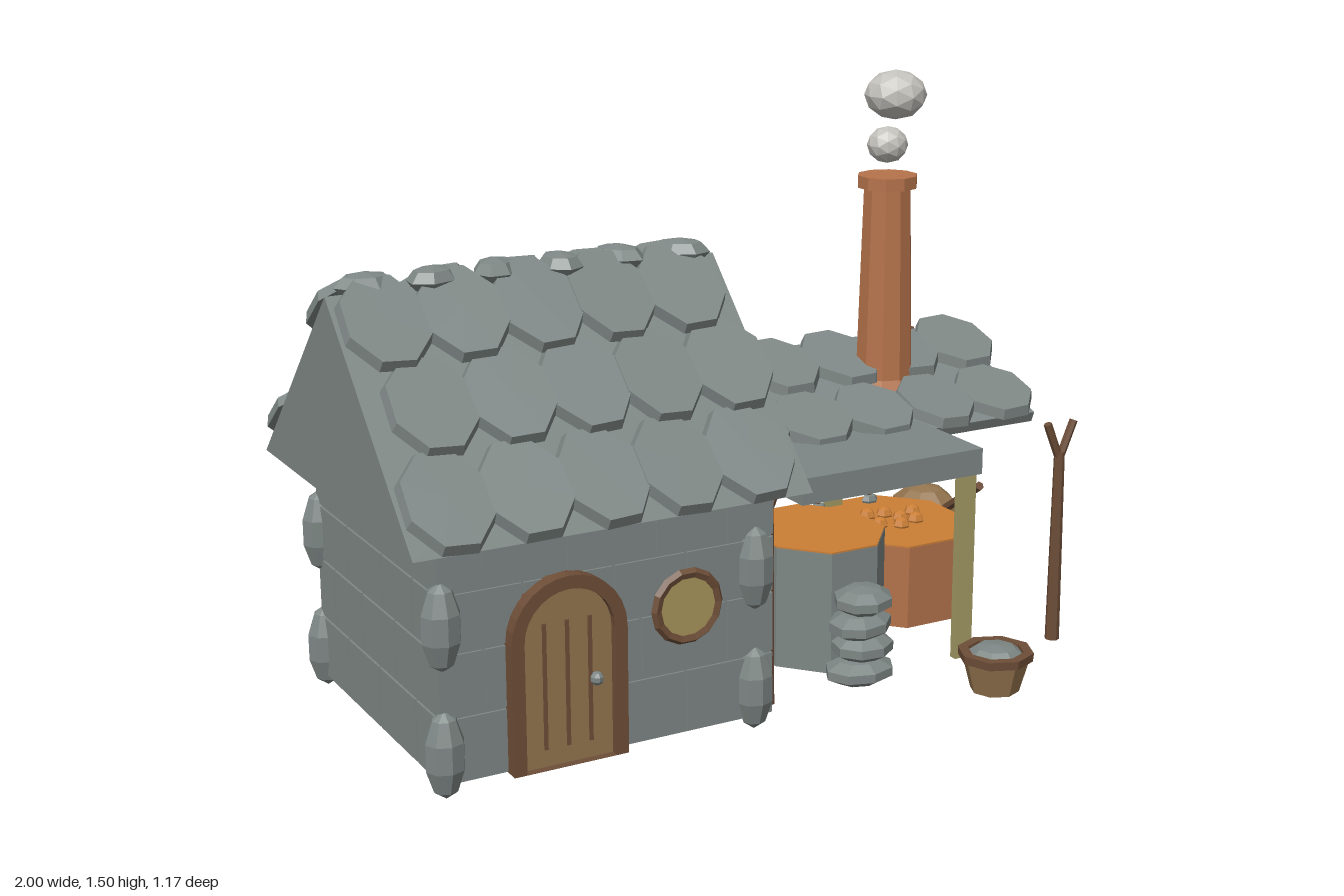
import * as THREE from 'three';

const mat = (name, color) => {
  const m = new THREE.MeshStandardMaterial({ color });
  m.name = name;
  return m;
};
const stone = mat('grey stone', 0x7e8785);
const clay = mat('clay brown', 0xb5734b);
const darkWood = mat('dark wood', 0x6e4e38);
const tanWood = mat('tan wood', 0x94754f);
const paleWood = mat('pale wood', 0xa39a64);
const ember = mat('ember orange', 0xcb7f36);
const glass = mat('window yellow', 0xa8965c);
const smokeMat = mat('smoke', 0xc4c2bc);

// Faceted normals for every part
function flat(geo) {
  const g = geo.index ? geo.toNonIndexed() : geo;
  g.computeVertexNormals();
  return g;
}
function add(parent, name, geo, material, x = 0, y = 0, z = 0) {
  const m = new THREE.Mesh(flat(geo), material);
  m.name = name;
  m.position.set(x, y, z);
  parent.add(m);
  return m;
}
function group(parent, name, x = 0, y = 0, z = 0) {
  const g = new THREE.Group();
  g.name = name;
  g.position.set(x, y, z);
  parent.add(g);
  return g;
}
const box = (w, h, d) => new THREE.BoxGeometry(w, h, d);
const cyl = (rt, rb, h, n = 8) => new THREE.CylinderGeometry(rt, rb, h, n);
const blob = (rx, ry, rz, w = 8, h = 5) => new THREE.SphereGeometry(1, w, h).scale(rx, ry, rz);

// Straight stick between two points
function stick(parent, name, a, b, r, material, n = 6) {
  const p = new THREE.Vector3(...a), q = new THREE.Vector3(...b);
  const m = add(parent, name, cyl(r, r, p.distanceTo(q), n), material);
  m.position.copy(p).add(q).multiplyScalar(0.5);
  m.quaternion.setFromUnitVectors(new THREE.Vector3(0, 1, 0), q.sub(p).normalize());
  return m;
}

// One row of overlapping roof slates, z runs down the slope
function slateRow(parent, xs, z, y, halfW, halfL, tilt) {
  xs.forEach((x, i) => {
    const s = add(parent, 'slate', cyl(0.94, 1, 0.028).rotateY(Math.PI / 8).scale(halfW * 1.07, 1, halfL * 1.07),
      stone, x, y, z);
    s.rotation.set(-tilt, ((i * 37) % 5 - 2) * 0.03, ((i * 23) % 3 - 1) * 0.03);
  });
}

// Round-topped door outline
function archShape(half, bottom, spring) {
  const s = new THREE.Shape();
  s.moveTo(-half, bottom);
  s.lineTo(half, bottom);
  s.lineTo(half, spring);
  s.absarc(0, spring, half, 0, Math.PI, false);
  s.lineTo(-half, bottom);
  return s;
}

function forkPost(parent, x, z, top) {
  const g = group(parent, 'forkPost', x, 0, z);
  add(g, 'postShaft', cyl(0.014, 0.019, top - 0.11), darkWood, 0, 0.03 + (top - 0.11) / 2, 0);
  for (const s of [-1, 1]) stick(g, 'postFork', [0, top - 0.1, 0], [s * 0.042, top, 0], 0.011, darkWood);
}

function buildHouse(root) {
  const house = group(root, 'house');
  const cx = -0.475, cz = -0.05;
  add(house, 'wallCore', box(0.858, 0.59, 0.768), stone, cx, 0.33, cz);

  // Brick courses on all four walls
  const rows = [0.035, 0.197, 0.352, 0.495, 0.62];
  [[0.87, 0.39], [0.78, 0.435], [0.87, 0.39], [0.78, 0.435]].forEach(([w, d], k) => {
    const wall = group(house, 'brickWall', cx, 0, cz);
    wall.rotation.y = k * Math.PI / 2;
    for (let r = 0; r < 4; r++) {
      const h = rows[r + 1] - rows[r];
      let x = -w / 2, i = 0;
      while (x < w / 2 - 0.001) {
        let len = i === 0 && r % 2 ? 0.11 : 0.19 + ((i + r * 2 + k) % 3) * 0.02;
        if (w / 2 - x - len < 0.08) len = w / 2 - x;
        add(wall, 'brick', box(len - 0.007, h - 0.007, 0.012), stone, x + len / 2, rows[r] + h / 2, d - 0.006);
        x += len;
        i++;
      }
    }
  });

  // Corner boulders
  for (const x of [-0.9, -0.09]) for (const z of [0.335, -0.44]) for (const y of [0.42, 0.112])
    add(house, 'cornerStone', blob(0.05, 0.108, 0.046), stone, x, y, z);

  // Solid gable roof
  const tri = new THREE.Shape([[-0.485, 0.62], [0.485, 0.62], [0, 1.11]].map(p => new THREE.Vector2(...p)));
  const roof = add(house, 'gableRoof', new THREE.ExtrudeGeometry(tri, { depth: 1.01, bevelEnabled: false })
    .translate(0, 0, -0.505).rotateY(Math.PI / 2), stone, -0.495, 0, cz);
  roof.name = 'gableRoof';

  // Slates on both slopes and stones along the ridge
  for (const turn of [0, Math.PI]) {
    const side = group(house, 'roofSlope', -0.495, 1.11, cz);
    side.rotation.y = turn;
    const slope = group(side, 'slates');
    slope.rotation.x = 0.79;
    [0.575, 0.335, 0.105].forEach((s, r) => slateRow(slope,
      [0, 1, 2, 3, 4].map(i => (i - 2) * 0.19 + (r === 1 ? 0.02 : -0.02) * (turn ? -1 : 1)), s, 0.037, 0.105, 0.132, 0.09));
  }
  for (let i = 0; i < 6; i++) {
    const c = add(house, 'ridgeStone', blob(0.075, 0.033, 0.055, 7, 4), stone, -0.9 + i * 0.163, 1.125, cz + (i % 2 - 0.5) * 0.012);
    c.rotation.y = i * 0.5;
  }

  // Arched door with frame, plank seams and knob
  const door = group(house, 'door', -0.6, 0, 0.335);
  const frame = archShape(0.147, 0.035, 0.355);
  frame.holes.push(archShape(0.115, 0.036, 0.355));
  add(door, 'doorFrame', new THREE.ExtrudeGeometry(frame, { depth: 0.04, bevelEnabled: false, curveSegments: 7 }), darkWood);
  add(door, 'doorPanel', new THREE.ExtrudeGeometry(archShape(0.117, 0.035, 0.355),
    { depth: 0.02, bevelEnabled: false, curveSegments: 7 }), tanWood);
  for (const x of [-0.058, 0, 0.058]) add(door, 'plankSeam', box(0.009, 0.31, 0.006), darkWood, x, 0.235, 0.022);
  add(door, 'doorKnob', blob(0.017, 0.017, 0.017), stone, 0.07, 0.235, 0.032);

  // Round window
  const win = group(house, 'roundWindow', -0.28, 0.36, 0.345);
  add(win, 'windowFrame', new THREE.TorusGeometry(0.083, 0.013, 5, 14), darkWood);
  add(win, 'windowPane', cyl(0.08, 0.08, 0.012, 14).rotateX(Math.PI / 2), glass);
}

function buildShelter(root) {
  const shelter = group(root, 'forgeShelter');
  add(shelter, 'flatSlab', box(0.535, 0.068, 0.69), stone, 0.338, 0.57, -0.055);

  // Sloped lean-to roof
  const lean = group(shelter, 'leanToRoof', 0, 0.655, -0.17);
  lean.rotation.x = 0.39;
  add(lean, 'leanToBoard', box(0.95, 0.03, 0.43), stone, 0.485, 0, 0);
  slateRow(lean, [0.11, 0.3, 0.49, 0.685, 0.875], 0.125, 0.035, 0.102, 0.115, 0.07);
  slateRow(lean, [0.14, 0.33, 0.52, 0.715, 0.895], -0.11, 0.035, 0.102, 0.125, 0.07);

  // Posts and the tool rail
  for (const z of [0.26, -0.37]) add(shelter, 'squarePost', box(0.05, 0.5, 0.022), paleWood, 0.577, 0.285, z);
  forkPost(shelter, -0.015, 0.27, 0.63);
  forkPost(shelter, 0.87, 0.265, 0.63);
  forkPost(shelter, 0.03, -0.375, 0.75);
  forkPost(shelter, 0.87, -0.375, 0.75);
  stick(shelter, 'toolRail', [0.01, 0.495, -0.382], [0.94, 0.495, -0.382], 0.012, paleWood);
  for (const x of [0.15, 0.315, 0.49, 0.66]) {
    stick(shelter, 'toolHandle', [x, 0.5, -0.365], [x + 0.022, 0.28, -0.345], 0.008, darkWood);
    add(shelter, 'toolHead', blob(0.026, 0.019, 0.019, 6, 4), stone, x + 0.023, 0.275, -0.345);
  }
}

function buildForge(root) {
  const forge = group(root, 'forge');
  // Round hearth with glowing coals
  const oct = (rx, rz, rb, h) => cyl(1.08, 1.08 * rb, h).rotateY(Math.PI / 8).scale(rx, 1, rz);
  add(forge, 'hearth', oct(0.195, 0.215, 0.96, 0.23), clay, 0.645, 0.15, -0.18);
  add(forge, 'hearthTop', oct(0.194, 0.214, 1, 0.006), ember, 0.645, 0.266, -0.18);
  [[-0.06, 0.02], [0, -0.05], [0.05, 0.03], [-0.01, 0.05], [0.08, -0.03], [-0.05, -0.06], [0.02, 0.0]]
    .forEach(([x, z]) => add(forge, 'coal', blob(0.024, 0.022, 0.024, 6, 4), ember, 0.65 + x, 0.274, -0.17 + z));

  // Stone worktable
  add(forge, 'stoneTable', oct(0.165, 0.193, 1, 0.322), stone, 0.285, 0.196, 0.005);
  add(forge, 'tableTop', oct(0.164, 0.192, 1, 0.006), ember, 0.285, 0.358, 0.005);

  // Flared chimney with cap
  const profile = [[0, 0.49], [0.152, 0.49], [0.13, 0.545], [0.078, 0.68], [0.064, 1.195], [0.081, 1.195],
    [0.081, 1.228], [0, 1.228]].map(p => new THREE.Vector2(...p));
  add(forge, 'chimney', new THREE.LatheGeometry(profile, 10), clay, 0.632, 0, -0.21);
  add(forge, 'smallSmokePuff', new THREE.IcosahedronGeometry(1, 1).scale(0.055, 0.049, 0.054), smokeMat, 0.63, 1.308, -0.21);
  add(forge, 'largeSmokePuff', new THREE.IcosahedronGeometry(1, 1).scale(0.083, 0.066, 0.085), smokeMat, 0.668, 1.435, -0.233);

  // Bellows with handle
  add(forge, 'bellows', blob(0.1, 0.083, 0.104, 8, 6), tanWood, 0.868, 0.21, -0.345);
  stick(forge, 'bellowsHandle', [0.87, 0.36, -0.08], [0.88, 0.24, -0.26], 0.013, darkWood);
}

function buildYard(root) {
  // Stack of flat stones
  const stack = group(root, 'stoneStack', 0.24, 0, 0.295);
  [0.078, 0.142, 0.203, 0.264].forEach((y, i) => {
    const s = add(stack, 'flatStone', blob(0.098 - (i % 2) * 0.012, 0.036, 0.078, 8, 5), stone, (i % 2) * 0.008, y, 0);
    s.rotation.y = i * 0.25;
  });

  // Bucket
  const bucket = group(root, 'bucket', 0.522, 0, 0.485);
  add(bucket, 'bucketBody', cyl(0.086, 0.062, 0.09), tanWood, 0, 0.082, 0);
  add(bucket, 'bucketRim', new THREE.LatheGeometry([[0.068, 0.12], [0.094, 0.12], [0.096, 0.142], [0.07, 0.142], [0.068, 0.12]]
    .map(p => new THREE.Vector2(...p)), 8), darkWood);
  add(bucket, 'bucketFill', blob(0.07, 0.022, 0.07, 8, 4), stone, 0, 0.134, 0);
  add(bucket, 'bucketPeg', cyl(0.01, 0.01, 0.02, 6), darkWood, 0, 0.03, 0);
}

export function createModel() {
  const root = new THREE.Group();
  root.name = 'stoneForgeCottage';
  buildHouse(root);
  buildShelter(root);
  buildForge(root);
  buildYard(root);
  return root;
}
